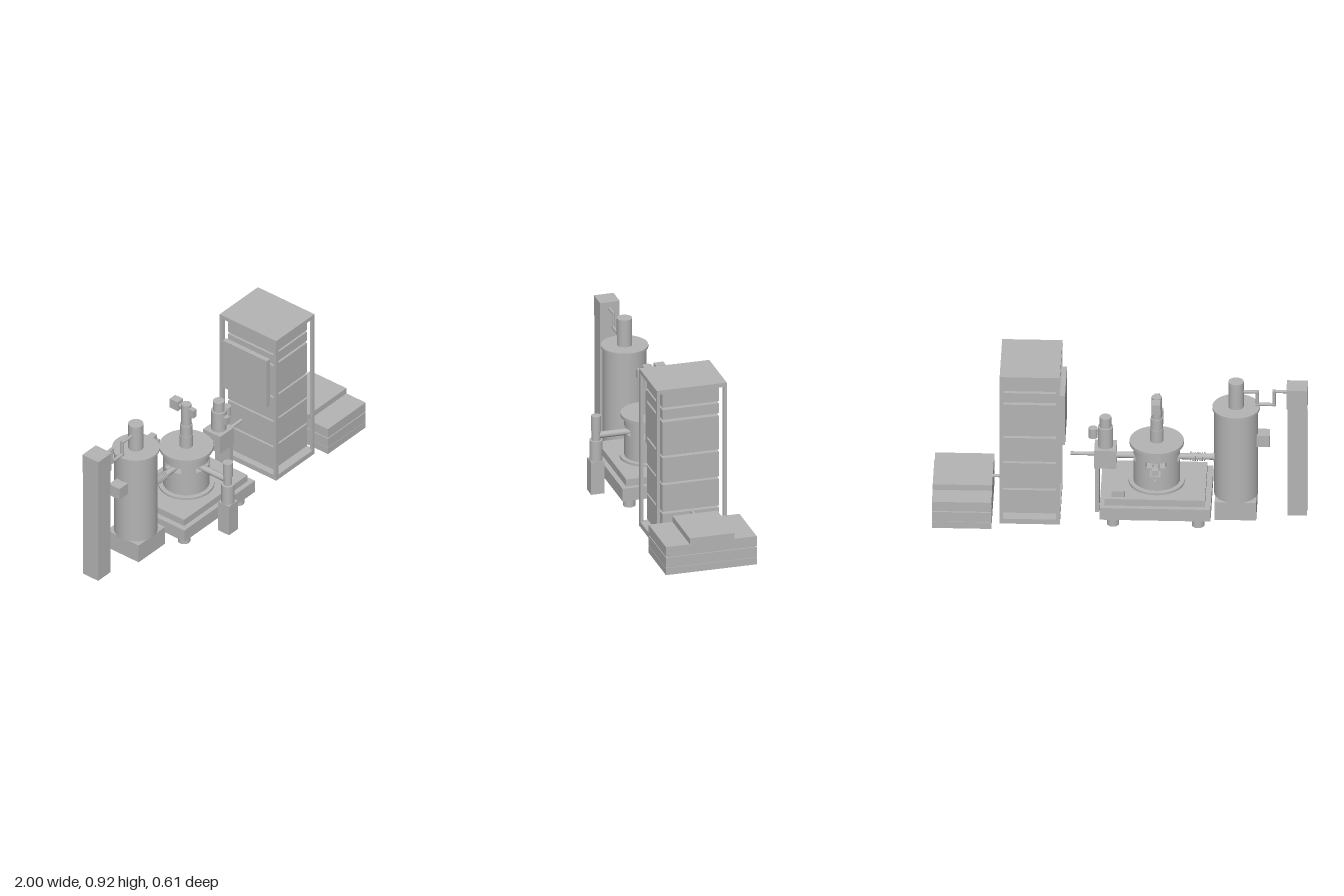
import * as THREE from 'three';

export function createModel() {
  const root = new THREE.Group();
  const grey = new THREE.MeshStandardMaterial({ color: 0xb4b4b4 });
  grey.name = 'plainGrey';
  const ZC = -0.02; // common axis of the whole line

  const add = (name, geo, parent = root) => {
    const m = new THREE.Mesh(geo, grey);
    m.name = name;
    parent.add(m);
    return m;
  };
  const group = (name) => {
    const g = new THREE.Group();
    g.name = name;
    root.add(g);
    return g;
  };
  // box from min/max limits
  const box = (name, x0, x1, y0, y1, z0, z1, parent) => {
    const m = add(name, new THREE.BoxGeometry(x1 - x0, y1 - y0, z1 - z0), parent);
    m.position.set((x0 + x1) / 2, (y0 + y1) / 2, (z0 + z1) / 2);
    return m;
  };
  // upright cylinder
  const cyl = (name, x, z, r, y0, y1, parent) => {
    const m = add(name, new THREE.CylinderGeometry(r, r, y1 - y0, 48), parent);
    m.position.set(x, (y0 + y1) / 2, z);
    return m;
  };
  // horizontal rods along x or z
  const rodX = (name, x0, x1, y, z, r, parent) => {
    const m = add(name, new THREE.CylinderGeometry(r, r, x1 - x0, 24), parent);
    m.rotation.z = Math.PI / 2;
    m.position.set((x0 + x1) / 2, y, z);
  };
  const rodZ = (name, z0, z1, y, x, r, parent) => {
    const m = add(name, new THREE.CylinderGeometry(r, r, z1 - z0, 24), parent);
    m.rotation.x = Math.PI / 2;
    m.position.set(x, y, (z0 + z1) / 2);
  };
  // square sleeve, open at both ends
  const sleeve = (name, x, z, half, wall, y0, y1, parent) => {
    const square = (s, h) => s.moveTo(-h, -h).lineTo(h, -h).lineTo(h, h).lineTo(-h, h).closePath();
    const shape = square(new THREE.Shape(), half);
    shape.holes.push(square(new THREE.Path(), half - wall));
    const geo = new THREE.ExtrudeGeometry(shape, { depth: y1 - y0, bevelEnabled: false });
    geo.rotateX(-Math.PI / 2);
    add(name, geo, parent).position.set(x, y0, z);
  };

  // hollow supply column with head
  const column = group('supplyColumn');
  sleeve('columnShaft', -0.945, ZC, 0.052, 0.013, 0, 0.67, column);
  box('columnHead', -1, -0.887, 0.665, 0.78, ZC - 0.055, ZC + 0.055, column);

  // stepped feed pipe
  const feed = new THREE.CurvePath();
  const pts = [[-0.89, 0.742], [-0.82, 0.742], [-0.82, 0.66], [-0.73, 0.66], [-0.73, 0.737], [-0.65, 0.737]]
    .map(([x, y]) => new THREE.Vector3(x, y, ZC));
  for (let i = 1; i < pts.length; i++) {
    const dir = pts[i].clone().sub(pts[i - 1]).normalize().multiplyScalar(0.008);
    feed.add(new THREE.LineCurve3(pts[i - 1].clone().sub(dir), pts[i].clone().add(dir)));
  }
  const pipe = group('feedPipe');
  feed.curves.forEach((c) => add('feedPipeRun', new THREE.TubeGeometry(c, 1, 0.009, 12), pipe));

  // storage tank
  const tank = group('tank'), TX = -0.617;
  sleeve('tankPlinth', TX, ZC, 0.111, 0.025, 0, 0.11, tank);
  cyl('tankBody', TX, ZC, 0.117, 0.105, 0.637, tank);
  cyl('tankFlange', TX, ZC, 0.127, 0.632, 0.645, tank);
  cyl('tankNeck', TX, ZC, 0.041, 0.64, 0.8, tank);
  box('tankSideBox', -0.798, -0.728, 0.415, 0.485, ZC - 0.037, ZC + 0.037, tank);

  // transfer pipe with bellows
  const PY = 0.327, CX = -0.193;
  const transfer = group('transferPipe');
  rodX('transferTube', -0.515, CX - 0.095, PY, ZC, 0.017, transfer);
  rodX('tankPort', -0.51, -0.497, PY, ZC, 0.026, transfer);
  for (let i = 0; i < 7; i++) {
    const x = -0.452 + i * 0.0125;
    rodX('bellowsRing', x, x + 0.006, PY, ZC, 0.024, transfer);
  }

  // plinth with feet
  const base = group('basePlinth');
  box('lowerPlate', -0.488, 0.105, 0.057, 0.13, -0.245, 0.21, base);
  box('upperPlate', -0.457, 0.078, 0.13, 0.17, -0.217, 0.182, base);
  box('junctionBox', -0.028, 0.042, 0.17, 0.205, -0.195, -0.152, base);
  for (const x of [-0.42, 0.035])
    for (const z of [-0.187, 0.152]) cyl('foot', x, z, 0.033, 0, 0.06, base);

  // vacuum chamber with four slots in its wall
  const chamber = group('chamber');
  cyl('chamberBottomFlange', CX, ZC, 0.15, 0.17, 0.183, chamber);
  cyl('chamberLowerWall', CX, ZC, 0.125, 0.18, 0.32, chamber);
  cyl('chamberUpperWall', CX, ZC, 0.125, 0.352, 0.41, chamber);
  cyl('chamberLid', CX, ZC, 0.145, 0.407, 0.425, chamber);
  for (let i = 0; i < 4; i++) {
    const a = i * Math.PI / 2 + 0.46, b = (i + 1) * Math.PI / 2 - 0.46;
    const s = new THREE.Shape();
    s.absarc(0, 0, 0.125, a, b, false);
    s.absarc(0, 0, 0.11, b, a, true);
    const geo = new THREE.ExtrudeGeometry(s, { depth: 0.032, bevelEnabled: false, curveSegments: 10 });
    geo.rotateX(-Math.PI / 2);
    add('slotPillar', geo, chamber).position.set(CX, 0.32, ZC);
  }

  // tower on the chamber lid
  const tower = group('tower');
  cyl('towerBase', CX, ZC, 0.036, 0.42, 0.5, tower);
  cyl('towerMiddle', CX, ZC, 0.033, 0.5, 0.565, tower);
  cyl('towerTop', CX, ZC, 0.027, 0.565, 0.695, tower);
  box('towerRearBox', CX - 0.023, CX + 0.023, 0.64, 0.698, -0.115, -0.06, tower);
  rodZ('towerRearNeck', -0.07, ZC, 0.667, CX, 0.014, tower);
  box('towerFrontBox', CX - 0.014, CX + 0.014, 0.632, 0.68, ZC, 0.04, tower);

  // pump stand at the front
  const stand = group('frontPump'), SZ = 0.268;
  box('pumpPost', CX - 0.037, CX + 0.037, 0, 0.187, SZ - 0.037, SZ + 0.038, stand);
  cyl('pumpBody', CX, SZ, 0.036, 0.187, 0.302, stand);
  cyl('pumpNeck', CX, SZ, 0.023, 0.3, 0.356, stand);
  cyl('pumpHead', CX, SZ, 0.027, 0.355, 0.442, stand);
  rodZ('pumpPipe', 0.07, SZ, PY, CX, 0.018, stand);

  // detector at the rear
  const rear = group('rearDetector');
  rodZ('rearPipe', -0.215, -0.11, PY, CX, 0.018, rear);
  rodZ('rearCollar', -0.228, -0.21, PY, CX, 0.022, rear);
  box('rearBox', CX - 0.028, CX + 0.028, 0.3, 0.355, -0.283, -0.225, rear);
  box('rearCap', CX - 0.018, CX + 0.018, 0.355, 0.385, -0.273, -0.236, rear);
  rodZ('rearStub', -0.306, -0.28, 0.328, CX, 0.011, rear);

  // side station on a plate leg
  const side = group('sideStation'), DX = 0.081;
  rodX('sidePipe', CX + 0.095, 0.03, 0.329, ZC, 0.017, side);
  box('sideBlock', 0.021, 0.139, 0.275, 0.385, -0.079, 0.039, side);
  box('sideLeg', 0.113, 0.136, 0, 0.28, -0.072, 0.032, side);
  cyl('sideCanister', DX, ZC, 0.041, 0.385, 0.505, side);
  cyl('sideCap', DX, ZC, 0.031, 0.505, 0.565, side);
  box('sideFrontBox', DX - 0.014, DX + 0.014, 0.438, 0.482, ZC, 0.045, side);
  rodX('sideArm', DX, 0.14, 0.465, ZC, 0.012, side);
  cyl('sideKnob', 0.147, ZC, 0.024, 0.437, 0.494, side);
  rodX('beamPipe', 0.13, 0.268, 0.333, ZC, 0.01, side);

  // equipment rack
  const rack = group('rack');
  box('rackTop', 0.318, 0.64, 0.892, 0.915, -0.209, 0.182, rack);
  box('rackBottom', 0.318, 0.64, 0, 0.03, -0.209, 0.182, rack);
  for (const [x0, x1] of [[0.318, 0.338], [0.622, 0.64]])
    for (const [z0, z1] of [[-0.209, -0.19], [0.165, 0.182]])
      box('rackPost', x0, x1, 0.03, 0.892, z0, z1, rack);
  for (const [y0, y1] of [[0.805, 0.885], [0.735, 0.792], [0.525, 0.72], [0.367, 0.512], [0.2, 0.355], [0.045, 0.188]])
    box('rackUnit', 0.34, 0.622, y0, y1, -0.17, 0.145, rack);
  box('sidePanel', 0.292, 0.32, 0.47, 0.777, -0.165, 0.138, rack);

  // stacked power cabinet
  const power = group('powerCabinet');
  for (const [y0, y1] of [[0, 0.04], [0.042, 0.1], [0.106, 0.163]])
    box('powerLayer', 0.682, 1, y0, y1, -0.267, 0.24, power);
  box('powerCore', 0.69, 0.992, 0.03, 0.12, -0.257, 0.23, power);
  box('powerLid', 0.682, 1, 0.163, 0.197, -0.143, 0.107, power);
  rodX('powerCable', 0.61, 0.69, 0.184, ZC, 0.009, power);

  return root;
}
